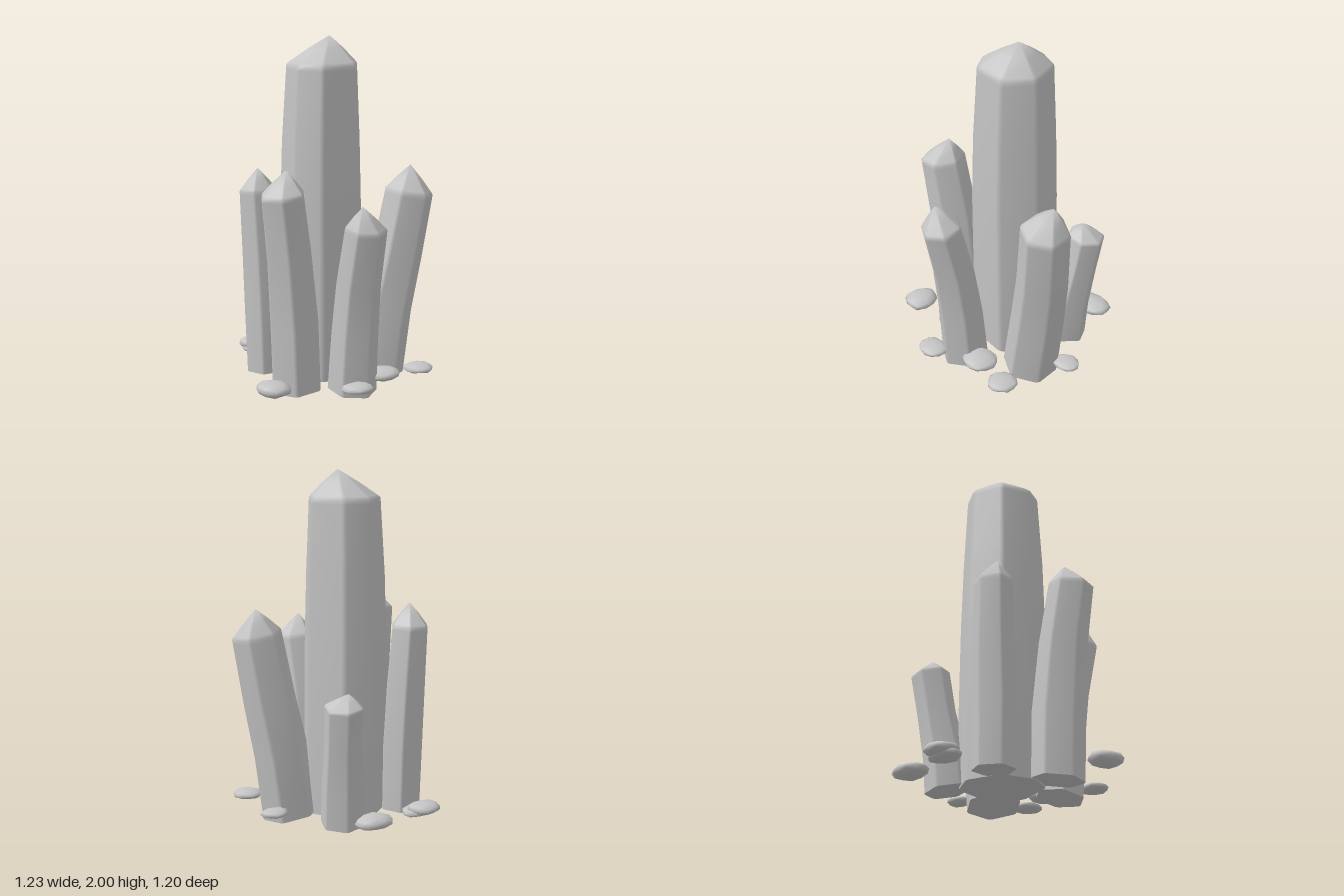
import * as THREE from 'three';
import { mergeVertices } from 'three/addons/utils/BufferGeometryUtils.js';

const BEVEL = 0.08;
const hex = (phase) => [0, 60, 120, 180, 240, 300].map((a) => a + phase);
const mix = (a, b, t) => a.map((v, i) => v + (b[i] - v) * t);

// Outline of unit corners, each corner cut into two points for a soft edge
function bevelledOutline(angles) {
  const corners = angles.map((d) => {
    const a = THREE.MathUtils.degToRad(d);
    return [1.03 * Math.cos(a), 1.03 * Math.sin(a)];
  });
  const n = corners.length;
  return corners.flatMap((c, i) => [
    mix(c, corners[(i + n - 1) % n], BEVEL),
    mix(c, corners[(i + 1) % n], BEVEL),
  ]);
}

// Faceted column: rings [x, y, z, radius] from the base up, closed by a pointed tip.
// Every ring is tilted square to the lean of the column.
function crystalGeometry(angles, rings, tip) {
  const outline = bevelledOutline(angles), n = outline.length;
  const first = rings[0], last = rings[rings.length - 1];
  const rise = last[1] - first[1];
  const leanX = (last[0] - first[0]) / rise, leanZ = (last[2] - first[2]) / rise;

  // Soft shoulder and slightly domed tip
  const capRing = (t, r) => [...mix(last.slice(0, 3), tip, t), last[3] * r];
  const all = [
    ...rings.slice(0, -1),
    mix(last, rings[rings.length - 2], 0.06),
    last, capRing(0.1, 0.92), capRing(0.55, 0.49),
  ];

  const pos = [], index = [];
  const addRing = ([x, y, z, r]) => {
    for (const [u, w] of outline) {
      pos.push(x + u * r, y - (leanX * u + leanZ * w) * r, z + w * r);
    }
  };
  all.forEach(addRing);
  const tipId = pos.length / 3;
  pos.push(...tip);

  // The base has its own vertices, so its rim stays sharp
  const baseStart = tipId + 1, baseId = baseStart + n;
  addRing(first);
  pos.push(...first.slice(0, 3));

  const top = (all.length - 1) * n;
  for (let i = 0; i < n; i++) {
    const j = (i + 1) % n;
    for (let k = 0; k < top; k += n) {
      const a = k + i, b = k + j;
      index.push(b, a, a + n, b, a + n, b + n);
    }
    index.push(top + j, top + i, tipId, baseStart + i, baseStart + j, baseId);
  }
  const g = new THREE.BufferGeometry();
  g.setAttribute('position', new THREE.Float32BufferAttribute(pos, 3));
  g.setIndex(index);
  g.computeVertexNormals();
  return g;
}

// Flattened, slightly lumpy stone
function pebbleGeometry(rx, ry, rz, seed) {
  let g = new THREE.IcosahedronGeometry(1, 1);
  g.deleteAttribute('normal');
  g.deleteAttribute('uv');
  g = mergeVertices(g, 1e-3);
  const p = g.attributes.position, v = new THREE.Vector3();
  for (let i = 0; i < p.count; i++) {
    v.fromBufferAttribute(p, i);
    v.multiplyScalar(1 + 0.08 * Math.sin(v.x * 4 + seed * 2.1) * Math.cos(v.z * 3 + v.y * 2 + seed));
    p.setXYZ(i, v.x * rx, v.y * ry, v.z * rz);
  }
  g.computeVertexNormals();
  return g;
}

export function createModel() {
  const model = new THREE.Group();
  model.name = 'crystalCluster';
  const stone = new THREE.MeshStandardMaterial({ color: 0xc4c4c4 });
  stone.name = 'grey stone';

  const add = (name, geometry) => {
    const mesh = new THREE.Mesh(geometry, stone);
    mesh.name = name;
    model.add(mesh);
    return mesh;
  };

  // Crystals: name, corner angles in degrees, rings, tip
  const crystals = [
    ['mainCrystal', [-87, -42, 17, 70, 132, 172, 221],
      [[0.045, 0.035, -0.005, 0.235], [0.045, 0.5, -0.005, 0.243], [0.04, 1.0, -0.005, 0.241],
        [0.04, 1.4, -0.005, 0.23], [0.045, 1.84, -0.005, 0.207]], [0.08, 2.0, 0.01]],
    ['rightFrontCrystal', hex(-28),
      [[0.32, 0.03, 0.165, 0.16], [0.38, 0.4, 0.175, 0.155], [0.437, 0.7, 0.205, 0.148],
        [0.492, 1.09, 0.25, 0.14]], [0.525, 1.24, 0.225]],
    ['leftFrontCrystal', hex(190),
      [[-0.265, 0.03, 0.125, 0.15], [-0.28, 0.4, 0.125, 0.15], [-0.32, 0.8, 0.13, 0.137],
        [-0.38, 1.16, 0.145, 0.128]], [-0.345, 1.29, 0.13]],
    ['frontCrystal', hex(95),
      [[-0.04, 0.03, 0.345, 0.14], [-0.045, 0.35, 0.37, 0.133], [-0.055, 0.65, 0.41, 0.125],
        [-0.07, 0.98, 0.485, 0.117]], [-0.105, 1.11, 0.495]],
    ['rightBackCrystal', hex(5),
      [[0.28, 0.035, -0.2, 0.125], [0.295, 0.25, -0.215, 0.12], [0.33, 0.5, -0.25, 0.108],
        [0.355, 0.73, -0.28, 0.11]], [0.325, 0.8, -0.285]],
    ['leftBackCrystal', hex(20),
      [[-0.178, 0.03, -0.25, 0.12], [-0.185, 0.4, -0.255, 0.125], [-0.193, 0.75, -0.27, 0.12],
        [-0.21, 1.11, -0.285, 0.11]], [-0.225, 1.24, -0.27]],
  ];
  for (const [name, ...args] of crystals) add(name, crystalGeometry(...args));

  // Pebbles scattered around the foot: centre, then radii
  const pebbles = [
    [-0.525, 0.103, 0.23, 0.093, 0.042, 0.105],
    [-0.145, 0.095, 0.51, 0.095, 0.026, 0.08],
    [0.135, 0.095, 0.405, 0.108, 0.035, 0.1],
    [0.37, 0.095, 0.467, 0.088, 0.027, 0.088],
    [0.53, 0.093, 0.085, 0.085, 0.024, 0.07],
    [0.295, 0.1, -0.445, 0.125, 0.04, 0.09],
    [-0.065, 0.11, -0.515, 0.105, 0.035, 0.087],
    [-0.055, 0.09, -0.475, 0.115, 0.03, 0.078],
  ];
  pebbles.forEach(([x, y, z, ...radii], i) => {
    add('pebble' + (i + 1), pebbleGeometry(...radii, i + 1)).position.set(x, y, z);
  });

  return model;
}
